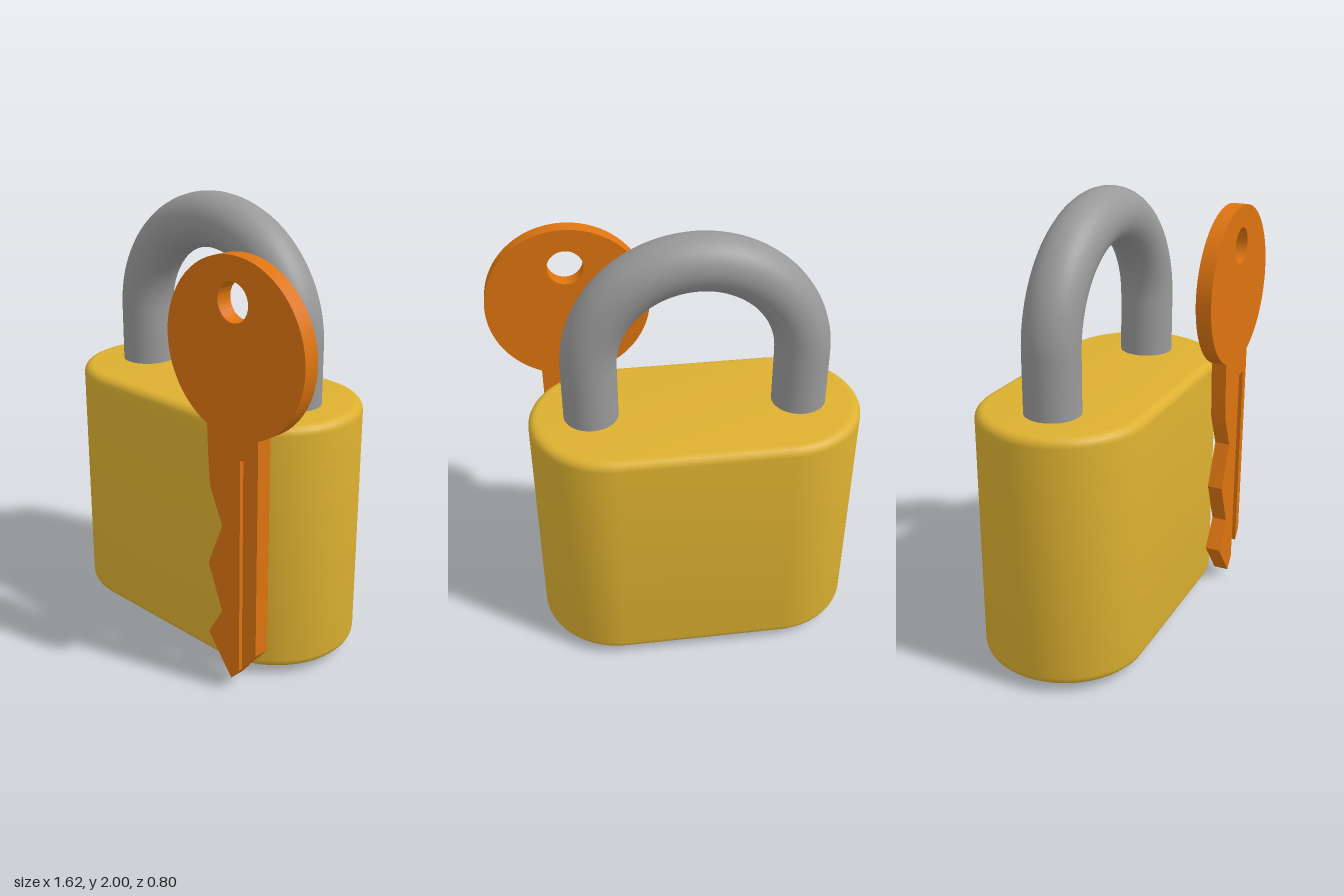
import * as THREE from 'three';
import { toCreasedNormals } from 'three/addons/utils/BufferGeometryUtils.js';

const CX = -0.08, CZ = -0.035; // centre of the padlock
const KX = 0.44, KZ = 0.33; // key axis and back face

function polygon(points) {
  return new THREE.Shape(points.map(([x, y]) => new THREE.Vector2(x, y)));
}

function circle(x, y, r, Type = THREE.Shape) {
  const path = new Type();
  path.absarc(x, y, r, 0, Math.PI * 2, false);
  return path;
}

function extrude(shape, depth, options = {}) {
  const geometry = new THREE.ExtrudeGeometry(shape, { depth, bevelEnabled: false, curveSegments: 32, ...options });
  return toCreasedNormals(geometry, 0.6);
}

function addMesh(parent, name, geometry, material, x = 0, y = 0, z = 0) {
  const mesh = new THREE.Mesh(geometry, material);
  mesh.name = name;
  mesh.position.set(x, y, z);
  parent.add(mesh);
  return mesh;
}

export function createModel() {
  const material = (name, color) => {
    const m = new THREE.MeshStandardMaterial({ color });
    m.name = name;
    return m;
  };
  const brass = material('brass', 0xdcb030);
  const steel = material('steel', 0x999999);
  const orange = material('orange', 0xdd7410);
  const dark = material('dark', 0x2b2b2b);

  const model = new THREE.Group();
  model.name = 'padlockWithKey';

  // Body: a stadium with rounded rims
  const bevel = 0.04, r = 0.365 - bevel, half = 0.37;
  const stadium = new THREE.Shape();
  stadium.absarc(half, 0, r, -Math.PI / 2, Math.PI / 2, false);
  stadium.absarc(-half, 0, r, Math.PI / 2, Math.PI * 1.5, false);
  stadium.closePath();
  const bodyGeometry = extrude(stadium, 1.125 - 2 * bevel, {
    bevelEnabled: true, bevelSize: bevel, bevelThickness: bevel, bevelSegments: 5,
  });
  bodyGeometry.rotateX(Math.PI / 2);
  addMesh(model, 'body', bodyGeometry, brass, CX, 1.165 - bevel, CZ);

  // Shackle: half ring on two straight legs
  const shackle = new THREE.Group();
  shackle.name = 'shackle';
  model.add(shackle);
  addMesh(shackle, 'shackleArch', new THREE.TorusGeometry(0.46, 0.12, 32, 48, Math.PI), steel, CX, 1.42, CZ);
  for (const side of [-1, 1]) {
    const leg = new THREE.CylinderGeometry(0.12, 0.12, 0.32, 32, 1, true);
    addMesh(shackle, side < 0 ? 'rightLeg' : 'leftLeg', leg, steel, CX + side * 0.46, 1.26, CZ);
  }

  // Lock cylinder under the body, with a recessed keyhole
  const plug = circle(0, 0, 0.22);
  const keyhole = [
    [-0.06, -0.15], [0.06, -0.15], [0.06, -0.05], [0.03, -0.05],
    [0.03, 0.15], [-0.03, 0.15], [-0.03, -0.05], [-0.06, -0.05],
  ];
  plug.holes.push(polygon(keyhole));
  const plugGeometry = extrude(plug, 0.05);
  plugGeometry.rotateX(Math.PI / 2);
  addMesh(model, 'lockCylinder', plugGeometry, steel, CX, 0.05, CZ);
  const floorGeometry = new THREE.ShapeGeometry(polygon(keyhole));
  floorGeometry.rotateX(Math.PI / 2);
  addMesh(model, 'keyhole', floorGeometry, dark, CX, 0.035, CZ);

  // Key head: a disc with a ring hole
  const key = new THREE.Group();
  key.name = 'key';
  model.add(key);
  const head = circle(KX, 1.505, 0.365);
  head.holes.push(circle(KX, 1.69, 0.08, THREE.Path));
  addMesh(key, 'keyHead', extrude(head, 0.07), orange, 0, 0, KZ);

  // Key blade: a full core between two skins cut by a groove
  const teeth = [
    [0.3, 1.168], [0.305, 1.04], [0.315, 0.9], [0.385, 0.74], [0.305, 0.54],
    [0.385, 0.335], [0.305, 0.205], [0.44, 0.03],
  ];
  const back = [[0.58, 0.2], [0.58, 1.168], [0.44, 1.14]];
  const groove = [[0.485, 0.085], [0.485, 1.06], [0.54, 1.06], [0.54, 0.151]];
  const skin = 0.018;
  addMesh(key, 'bladeCore', extrude(polygon([...teeth, ...back]), 0.07 - 2 * skin), orange, 0, 0, KZ + skin);
  for (const [name, z] of [['bladeBack', KZ], ['bladeFront', KZ + 0.07 - skin]]) {
    addMesh(key, name, extrude(polygon([...teeth, ...groove, ...back]), skin), orange, 0, 0, z);
  }

  return model;
}
